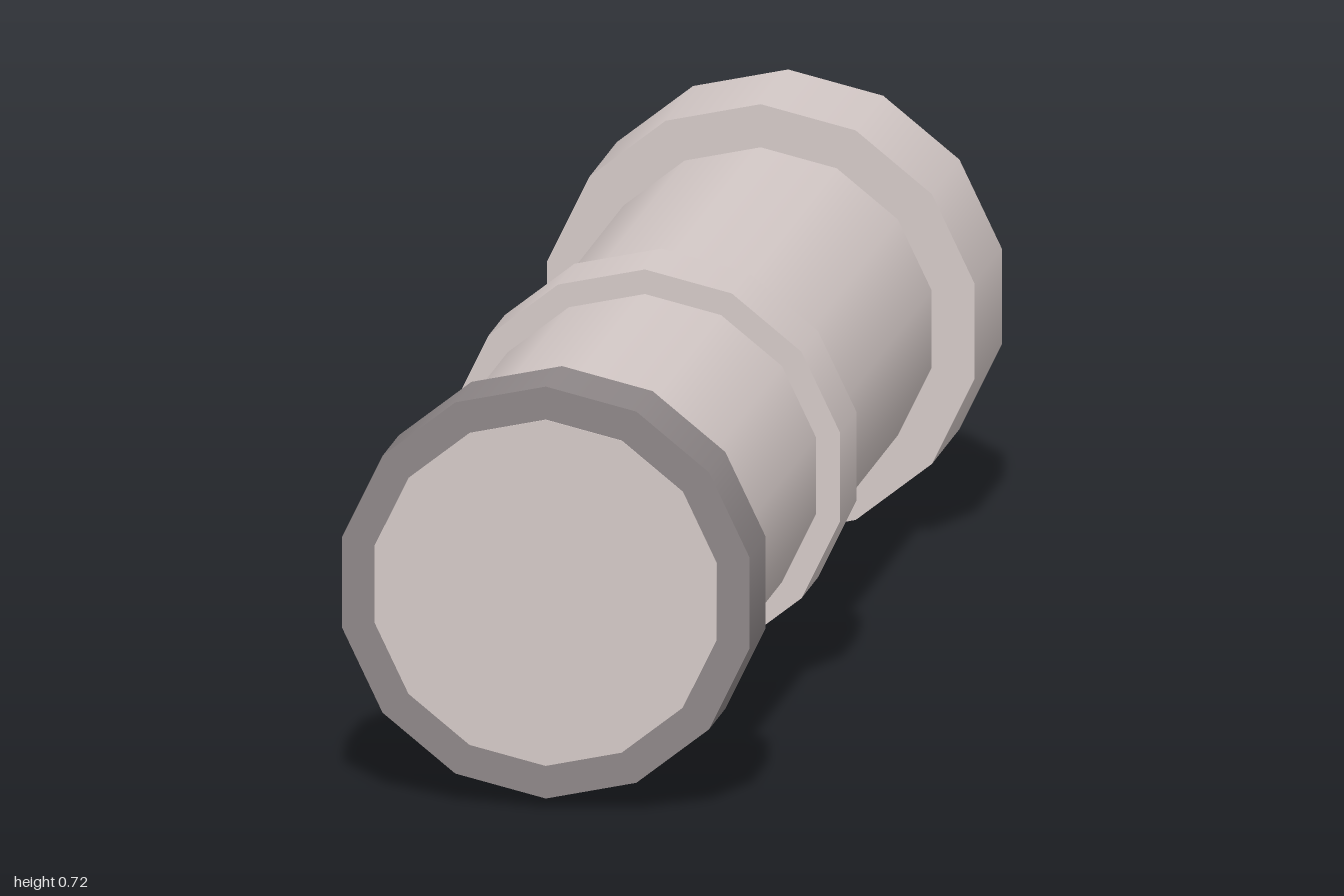
import * as THREE from 'three';

const CENTER_Y = 0.362;

export function createModel() {
  const group = new THREE.Group();
  group.name = 'tube';

  const material = (name, color) => {
    const m = new THREE.MeshStandardMaterial({ color });
    m.name = name;
    return m;
  };
  const paleMetal = material('pale metal', 0xd4c9c7);
  const greyMetal = material('grey metal', 0x8e8788);
  const darkGlass = material('dark glass', 0x484240);

  // Faceted-outline cylinder lying along z, with a corner at the top
  const section = (name, radius, zBack, zFront, mat, sides = 14) => {
    const geometry = new THREE.CylinderGeometry(radius, radius, zFront - zBack, sides);
    geometry.rotateX(Math.PI / 2);
    const mesh = new THREE.Mesh(geometry, mat);
    mesh.name = name;
    mesh.position.set(0, CENTER_Y, (zFront + zBack) / 2);
    group.add(mesh);
  };

  // Main barrel, its front face just proud of the front ring
  section('barrel', 0.289, -0.98, 1.0, paleMetal);
  // Rings around the barrel
  section('frontRing', 0.344, 0.865, 0.998, greyMetal);
  section('middleRing', 0.33, 0.05, 0.185, paleMetal);
  section('backCollar', 0.361, -0.99, -0.765, paleMetal);
  // Dark disc on the back end
  section('backLens', 0.235, -1.0, -0.985, darkGlass, 12);

  return group;
}
